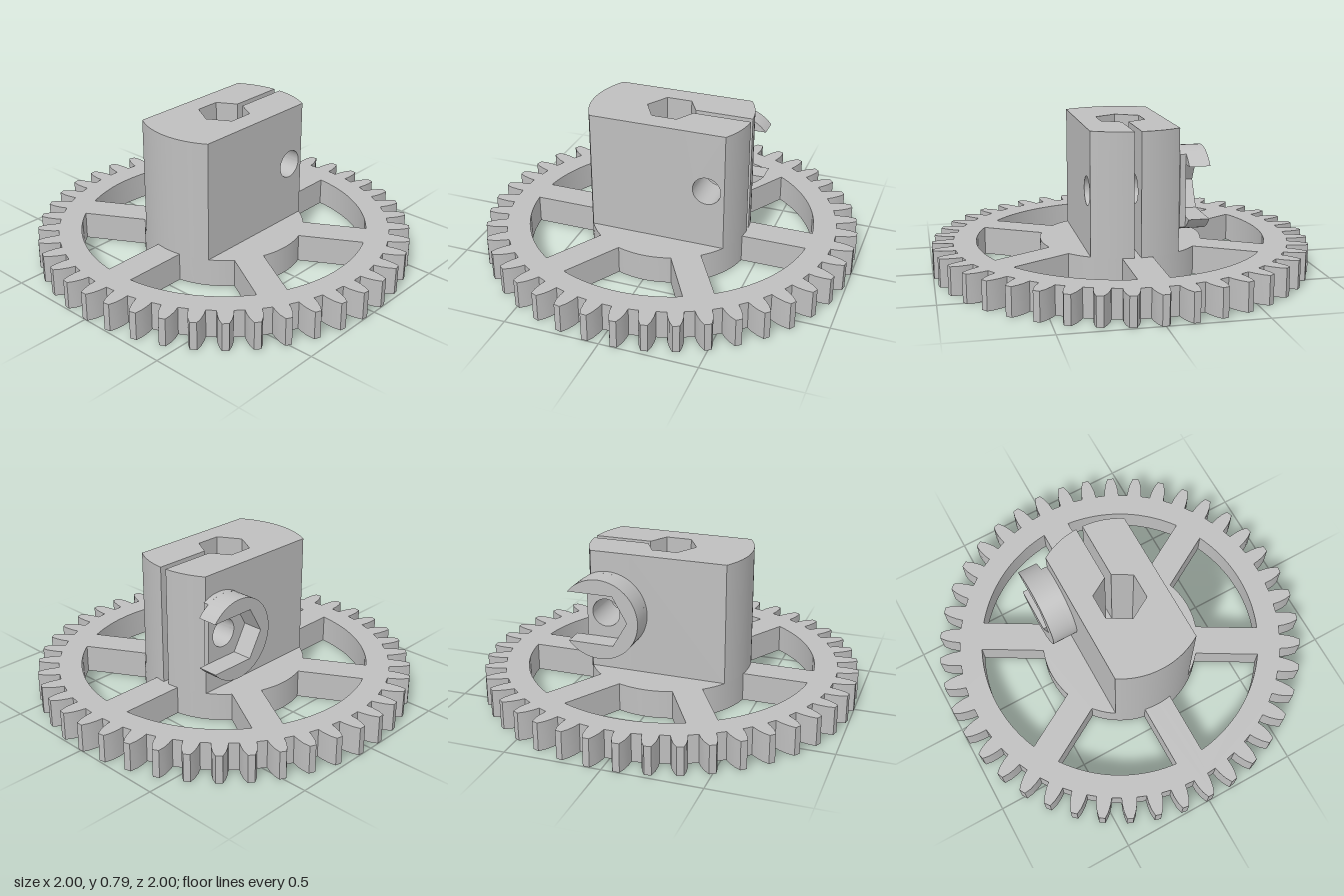
import * as THREE from 'three';
import { toCreasedNormals } from 'three/addons/utils/BufferGeometryUtils.js';

const plastic = new THREE.MeshStandardMaterial({ color: 0xbfbfbf });
plastic.name = 'grey plastic';

const GEAR_TOP = 0.15, BOSS_TOP = 0.79, HUB_R = 0.43, BOSS_HALF = 0.228;
const SLIT = 0.018, HEX_R = 0.135, SPLIT_X = 0.15, ARM_X = 0.358;
const BOLT = { x: 0.27, y: 0.47, r: 0.075 };

const polar = (r, a) => new THREE.Vector2(r * Math.cos(a), r * Math.sin(a));

// Points along an arc about the origin
function arc(r, from, to, n) {
  return Array.from({ length: n + 1 }, (_, i) => polar(r, from + (to - from) * i / n));
}

function extrude(shape, depth) {
  const geo = new THREE.ExtrudeGeometry(shape, { depth, bevelEnabled: false, curveSegments: 32 });
  return toCreasedNormals(geo, 0.35);
}

// Plan outline (x, -z) raised from y0 to y1
function upright(name, shape, y0, y1) {
  const geo = extrude(shape, y1 - y0).rotateX(-Math.PI / 2).translate(0, y0, 0);
  const mesh = new THREE.Mesh(geo, plastic);
  mesh.name = name;
  return mesh;
}

// Front outline (x, y) extended from z0 to z1
function facing(name, shape, z0, z1, x = 0, y = 0) {
  const mesh = new THREE.Mesh(extrude(shape, z1 - z0).translate(x, y, z0), plastic);
  mesh.name = name;
  return mesh;
}

function circleHole(x, y, r) {
  return new THREE.Path().absarc(x, y, r, 0, Math.PI * 2, true);
}

// Toothed wheel with six spokes and a hexagonal bore
function gearShape() {
  const teeth = 42, outline = [];
  const flank = [[0.89, 0.046], [0.925, 0.042], [0.965, 0.032], [1, 0.017]];
  for (let i = 0; i < teeth; i++) {
    const a = i * Math.PI * 2 / teeth;
    flank.forEach(([r, half]) => outline.push(polar(r, a - half)));
    [...flank].reverse().forEach(([r, half]) => outline.push(polar(r, a + half)));
  }
  const shape = new THREE.Shape(outline);
  const rimR = 0.768, spokeHalf = 0.078, step = Math.PI / 3;
  const outer = Math.asin(spokeHalf / rimR), inner = Math.asin(spokeHalf / HUB_R);
  for (let i = 0; i < 6; i++) {
    const a = i * step, b = a + step;
    shape.holes.push(new THREE.Path([
      ...arc(rimR, a + outer, b - outer, 20),
      ...arc(HUB_R, b - inner, a + inner, 14),
    ]));
  }
  shape.holes.push(new THREE.Path(arc(HEX_R, 0, Math.PI * 5 / 3, 5)));
  return shape;
}

// Main boss body: rounded end, flat sides, bore opening into the slit
function bossShape() {
  const a = Math.asin(BOSS_HALF / HUB_R);
  const slitX = HEX_R - SLIT / Math.sqrt(3);
  return new THREE.Shape([
    new THREE.Vector2(SPLIT_X, BOSS_HALF),
    ...arc(HUB_R, Math.PI - a, Math.PI + a, 24),
    new THREE.Vector2(SPLIT_X, -BOSS_HALF),
    new THREE.Vector2(SPLIT_X, -SLIT),
    new THREE.Vector2(slitX, -SLIT),
    ...arc(HEX_R, Math.PI * 5 / 3, Math.PI / 3, 4),
    new THREE.Vector2(slitX, SLIT),
    new THREE.Vector2(SPLIT_X, SLIT),
  ]);
}

// One clamp jaw beside the slit: drilled block plus rounded end
function clampJaw(name, side) {
  const jaw = new THREE.Group();
  jaw.name = name;
  const block = new THREE.Shape([
    new THREE.Vector2(SPLIT_X, GEAR_TOP), new THREE.Vector2(ARM_X, GEAR_TOP),
    new THREE.Vector2(ARM_X, BOSS_TOP), new THREE.Vector2(SPLIT_X, BOSS_TOP),
  ]);
  block.holes.push(circleHole(BOLT.x, BOLT.y, BOLT.r));
  const [z0, z1] = side > 0 ? [SLIT, BOSS_HALF] : [-BOSS_HALF, -SLIT];
  jaw.add(facing('drilledBlock', block, z0, z1));

  const end = new THREE.Shape([
    new THREE.Vector2(ARM_X, -side * SLIT),
    ...arc(HUB_R, -side * Math.asin(SLIT / HUB_R), -side * Math.asin(BOSS_HALF / HUB_R), 14),
    new THREE.Vector2(ARM_X, -side * BOSS_HALF),
  ]);
  jaw.add(upright('roundedEnd', end, GEAR_TOP, BOSS_TOP));
  return jaw;
}

// Nut holder behind the bolt hole: floor disc and a C-shaped wall
function nutHolder() {
  const holder = new THREE.Group();
  holder.name = 'nutHolder';
  const R = 0.215, half = 0.135, cut = 0.105;
  const floorA = Math.acos(cut / R), wallA = Math.asin(half / R);
  const floor = new THREE.Shape(arc(R, floorA, Math.PI * 2 - floorA, 48));
  floor.holes.push(circleHole(0, 0, BOLT.r));
  const nutR = half / Math.cos(Math.PI / 6);
  const wall = new THREE.Shape([
    ...arc(R, wallA, Math.PI * 2 - wallA, 48),
    ...arc(nutR, Math.PI * 4 / 3, Math.PI * 2 / 3, 2),
  ]);
  holder.add(facing('holderFloor', floor, -0.258, -BOSS_HALF, BOLT.x, BOLT.y));
  holder.add(facing('holderWall', wall, -0.366, -0.258, BOLT.x, BOLT.y));
  return holder;
}

export function createModel() {
  const model = new THREE.Group();
  model.name = 'clampGear';
  model.add(
    upright('gearWheel', gearShape(), 0, GEAR_TOP),
    upright('boss', bossShape(), GEAR_TOP, BOSS_TOP),
    clampJaw('frontJaw', 1),
    clampJaw('backJaw', -1),
    nutHolder(),
  );
  return model;
}
